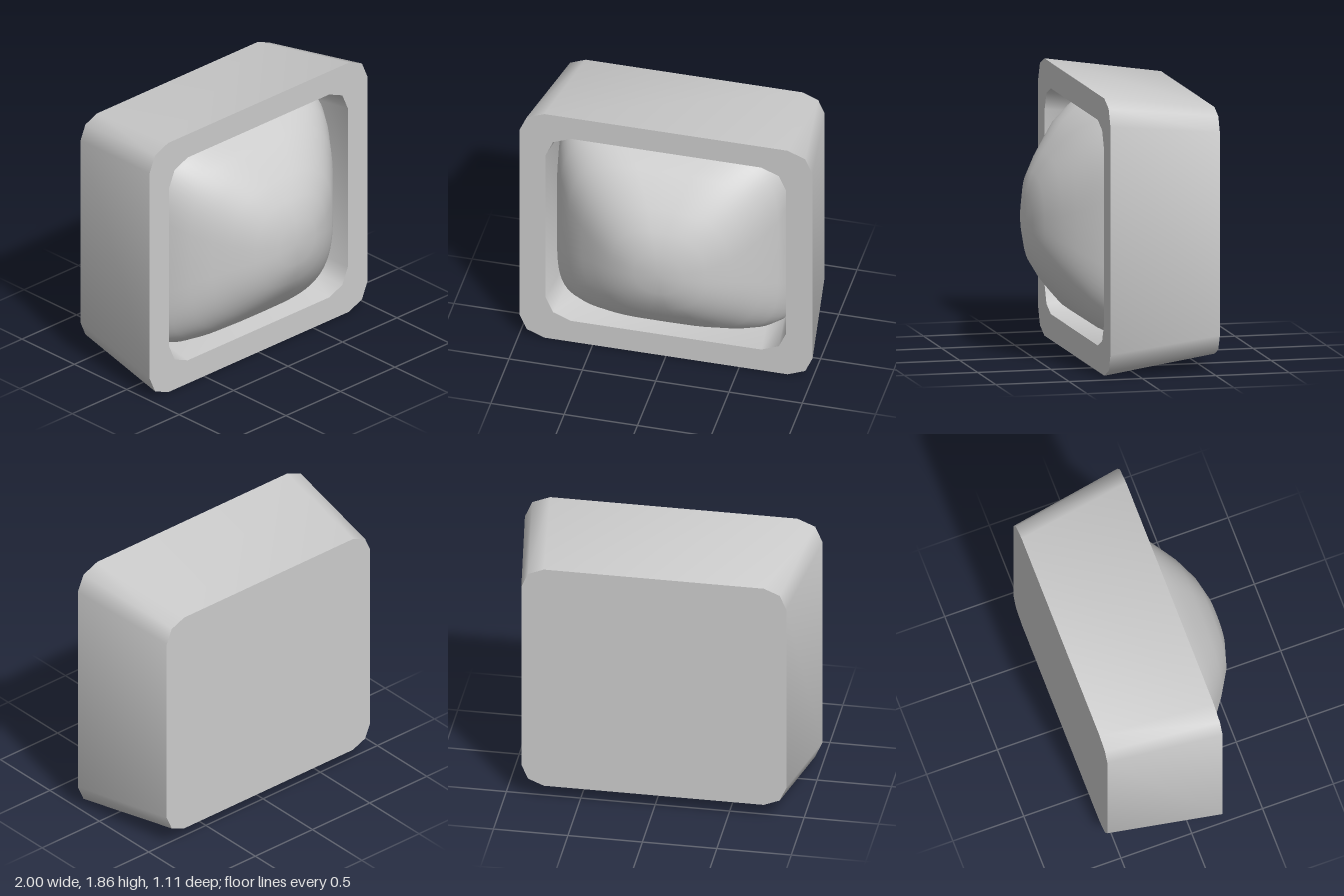
import * as THREE from 'three';
import { mergeVertices, toCreasedNormals } from 'three/addons/utils/BufferGeometryUtils.js';

const CY = 0.93; // height of the centre

// Skin a list of counter-clockwise rings; a ring of one point closes an end.
function loft(rings) {
  const pos = [];
  const n = Math.max(...rings.map((r) => r.length));
  const at = (r, i) => r[i % r.length];
  for (let k = 0; k < rings.length - 1; k++) {
    const a = rings[k], b = rings[k + 1];
    for (let i = 0; i < n; i++) {
      if (a.length > 1) pos.push(...at(a, i), ...at(a, i + 1), ...at(b, i + 1));
      if (b.length > 1) pos.push(...at(a, i), ...at(b, i + 1), ...at(b, i));
    }
  }
  const g = new THREE.BufferGeometry();
  g.setAttribute('position', new THREE.Float32BufferAttribute(pos, 3));
  return g;
}

// Rectangle with two-step chamfered corners
function chamferedRing(w, h, z, s = 1) {
  const corner = [[w, h - 0.165], [w - 0.05, h - 0.05], [w - 0.17, h]];
  const flipped = [...corner].reverse();
  return [
    ...corner,
    ...flipped.map(([x, y]) => [-x, y]),
    ...corner.map(([x, y]) => [-x, -y]),
    ...flipped.map(([x, y]) => [x, -y]),
  ].map(([x, y]) => [x * s, CY + y * s, z]);
}

// Superellipse ring: power 2 is round, higher is squarer
function pillowRing(z, w, h, power, dx = 0) {
  const ring = [];
  const soft = (v) => Math.sign(v) * Math.abs(v) ** (2 / power);
  for (let i = 0; i < 64; i++) {
    const t = (i / 64) * Math.PI * 2;
    ring.push([dx + w * soft(Math.cos(t)), CY + h * soft(Math.sin(t)), z]);
  }
  return ring;
}

export function createModel() {
  const group = new THREE.Group();
  const material = new THREE.MeshStandardMaterial({ color: 0xcccccc });
  const add = (name, geometry) => {
    const mesh = new THREE.Mesh(geometry, material);
    mesh.name = name;
    group.add(mesh);
  };

  // Tapered housing with a flat front rim and a recessed pocket
  add('housing', toCreasedNormals(loft([
    [[0, CY, -0.555]],
    chamferedRing(1, 0.93, -0.555, 0.89),
    chamferedRing(1, 0.93, 0.218),
    chamferedRing(0.82, 0.757, 0.218),
    chamferedRing(0.82, 0.757, -0.09, 0.955),
    [[0, CY, -0.09]],
  ]), 0.95));

  // Domed cushion bulging out of the pocket
  const cushion = loft([
    pillowRing(-0.07, 0.80, 0.745, 9),
    pillowRing(0.05, 0.785, 0.735, 5.5),
    pillowRing(0.13, 0.745, 0.70, 4.6),
    pillowRing(0.25, 0.655, 0.62, 3.8),
    pillowRing(0.34, 0.555, 0.525, 3.3, 0.01),
    pillowRing(0.42, 0.46, 0.435, 2.9, 0.02),
    pillowRing(0.505, 0.32, 0.31, 2.5, 0.02),
    pillowRing(0.553, 0.17, 0.16, 2.2, 0.03),
    [[0.03, CY, 0.555]],
  ]);
  const smooth = mergeVertices(cushion, 1e-4);
  smooth.computeVertexNormals();
  add('cushion', smooth);

  return group;
}
